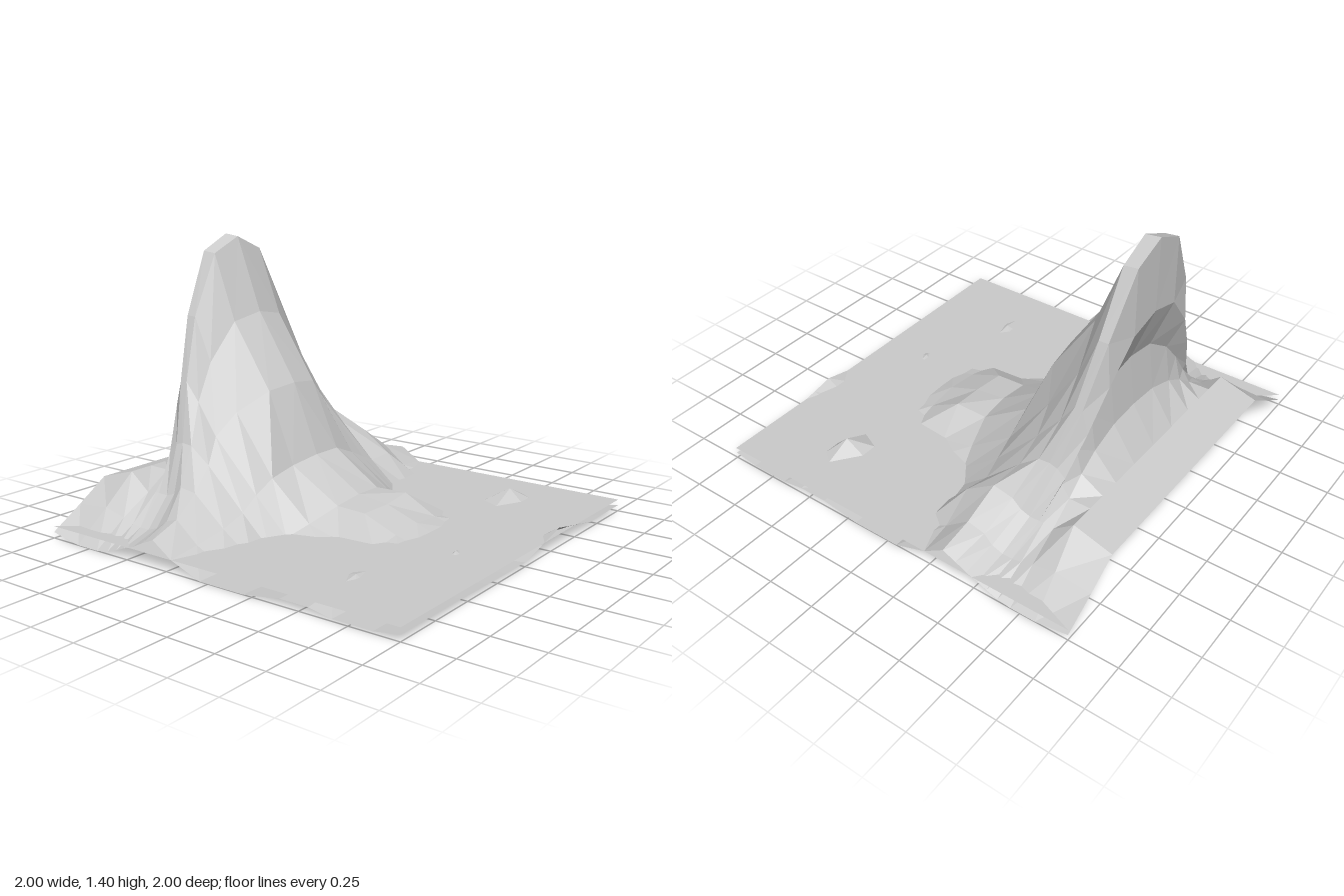
import * as THREE from 'three';

// Each column of the land: [ridge x, ridge y, border x, border y, falloff, lean]
const COLUMNS = [
  [-1, 0.23, -1, 0.03, 0, 0],
  [-0.8, 0.29, -0.83, 0, 0, 0],
  [-0.68, 0.48, -0.7, 0, 0.4, 0],
  [-0.65, 0.74, -0.63, 0.01, 0.6, 0.01],
  [-0.76, 1.03, -0.57, 0.03, 0.8, 0.03],
  [-0.76, 1.4, -0.52, 0.05, 1, 0.04],
  [-0.68, 1.39, -0.46, 0.07, 1, 0.07],
  [-0.54, 1.02, -0.4, 0.1, 0.8, 0.09],
  [-0.32, 0.68, -0.33, 0.13, 0.7, 0.12],
  [-0.18, 0.33, -0.22, 0.06, 0.75, 0.01],
  [0.08, 0.17, -0.05, 0, 1.8, 0],
  [0.25, 0.15, 0.2, 0, 3.5, 0],
  [0.42, 0.09, 0.4, 0.03, 5, 0],
  [0.55, 0.04, 0.55, 0.03, 4, 0],
  [0.67, 0.02, 0.67, 0.01, 1, 0],
  [0.74, 0.02, 0.74, 0.01, 1, 0],
  [0.87, 0.01, 0.87, 0.01, 1, 0],
  [1, 0.02, 1, 0.03, 1, 0],
];

// Half of the rows from the ridge to the border: [z, share of full height]
const HALF = [[0, 1], [0.17, 0.945], [0.33, 0.72], [0.44, 0.49], [0.54, 0.28], [0.67, 0.12], [0.83, 0.03], [1, 0]];
const ROWS = [...HALF.slice(1).reverse().map(([z, g]) => [-z, g]), ...HALF];

// Small hills and hollows: [x, z, height, x radius, z radius]
const HILLS = [
  [0.55, -0.67, 0.09, 0.12, 0.2], [0.55, 0.67, 0.04, 0.12, 0.3], [0.74, 0.17, 0.05, 0.06, 0.1],
  [1, -0.33, 0.07, 0.12, 0.33], [0.23, -0.17, 0.05, 0.17, 0.17], [-0.26, -0.67, 0.09, 0.2, 0.15],
  [0.23, 0.17, 0.03, 0.15, 0.15],
];

function seeded(seed) {
  return () => (seed = (seed * 16807) % 2147483647) / 2147483647 - 0.5;
}

// Folded sheet of land with the overhanging peak
function landGeometry() {
  const rand = seeded(71);
  const points = [];
  const index = [];
  const n = COLUMNS.length;
  ROWS.forEach(([z, g], r) => {
    COLUMNS.forEach(([rx, ry, ex, ey, fall, lean], c) => {
      // The shelf keeps its height until close to the border
      const w = fall ? Math.pow(g, fall) : Math.min(1, g / 0.06);
      let x = ex + (rx - ex) * w - lean * 4 * g * (1 - g);
      let y = ey + (ry - ey) * w;
      for (const [hx, hz, h, sx, sz] of HILLS) {
        y += h * Math.max(0, 1 - Math.hypot((x - hx) / sx, (z - hz) / sz));
      }
      // Rough the windward slope, leaving the ridge line and the border in place
      if (z !== 0 && Math.abs(z) < 1 && c > 6 && c < 12) {
        x += rand() * 0.025;
        y += rand() * 0.025 * w;
      }
      points.push(x, Math.max(0, y), z);
      if (r < ROWS.length - 1 && c < n - 1) {
        const a = r * n + c, b = a + n;
        if (z < 0) index.push(a, b, a + 1, b, b + 1, a + 1);
        else index.push(a, b, b + 1, a, b + 1, a + 1);
      }
    });
  });
  const geometry = new THREE.BufferGeometry();
  geometry.setAttribute('position', new THREE.Float32BufferAttribute(points, 3));
  geometry.setIndex(index);
  const flat = geometry.toNonIndexed();
  flat.computeVertexNormals();
  return flat;
}

export function createModel() {
  const group = new THREE.Group();
  const material = new THREE.MeshStandardMaterial({ color: 0xcccccc, flatShading: true, side: THREE.DoubleSide });

  const land = new THREE.Mesh(landGeometry(), material);
  land.name = 'mountainLand';
  group.add(land);

  // Level water sheet, open beneath the mountain: [x, z] corners
  const outline = [[-1, -1], [1, -1], [1, 1], [-1, 1], [0.3, 0], [-0.08, -0.5], [-0.32, -0.74]];
  const shape = new THREE.Shape(outline.map(([x, z]) => new THREE.Vector2(x, -z)));
  const water = new THREE.Mesh(new THREE.ShapeGeometry(shape), material);
  water.name = 'water';
  water.rotation.x = -Math.PI / 2;
  water.position.y = 0.06;
  group.add(water);

  return group;
}
